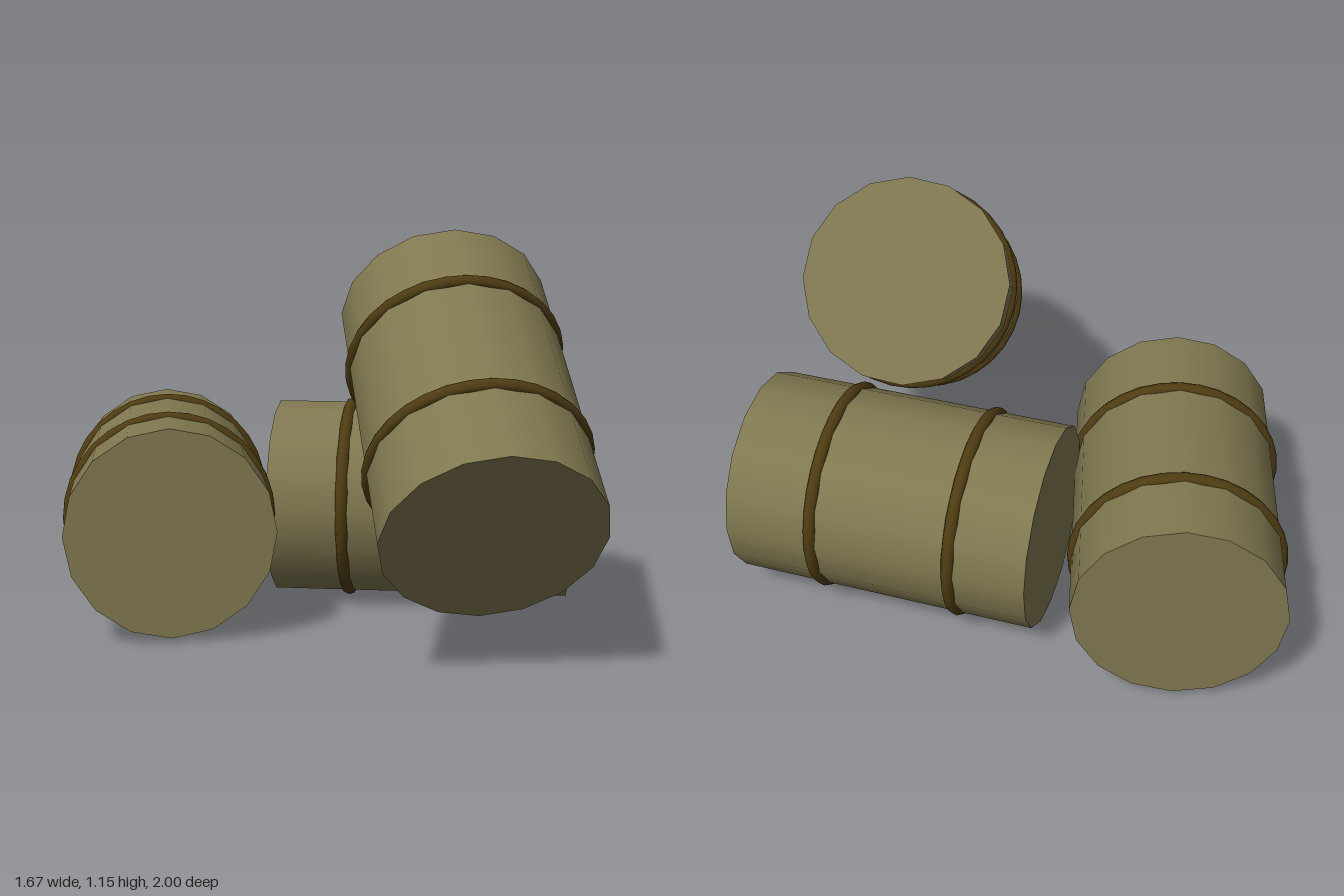
import * as THREE from 'three';

const RADIUS = 0.297, LENGTH = 0.892;

// Barrel with its axis along +z and two raised hoops
function makeBarrel(name, bodyMat, hoopMat) {
  const barrel = new THREE.Group();
  barrel.name = name;
  const body = new THREE.Mesh(
    new THREE.CylinderGeometry(RADIUS, RADIUS, LENGTH, 16).rotateX(Math.PI / 2), bodyMat);
  body.name = 'barrelBody';
  barrel.add(body);
  // The hoops sit slightly towards the rear end
  for (const [hoopName, z] of [['rearHoop', -0.222], ['frontHoop', 0.19]]) {
    const hoop = new THREE.Mesh(new THREE.TorusGeometry(0.29, 0.019, 8, 32), hoopMat);
    hoop.name = hoopName;
    hoop.position.z = z;
    barrel.add(hoop);
  }
  return barrel;
}

export function createModel() {
  const model = new THREE.Group();
  model.name = 'barrelPile';
  const bodyMat = new THREE.MeshStandardMaterial({ color: 0x807850 });
  const hoopMat = new THREE.MeshStandardMaterial({ color: 0x4f3c12 });

  // Name, centre and axis direction of each barrel
  const layout = [
    ['rightLyingBarrel', [-0.347, 0.309, -0.465], [-0.549, 0, 0.835]],
    ['leftLyingBarrel', [0.312, 0.309, -0.037], [0.683, 0, 0.731]],
    ['leaningBarrel', [-0.009, 0.645, 0.478], [-0.399, -0.519, 0.611]],
  ];
  for (const [name, centre, axis] of layout) {
    const barrel = makeBarrel(name, bodyMat, hoopMat);
    barrel.position.set(...centre);
    barrel.lookAt(new THREE.Vector3(...axis).add(barrel.position));
    model.add(barrel);
  }
  return model;
}
